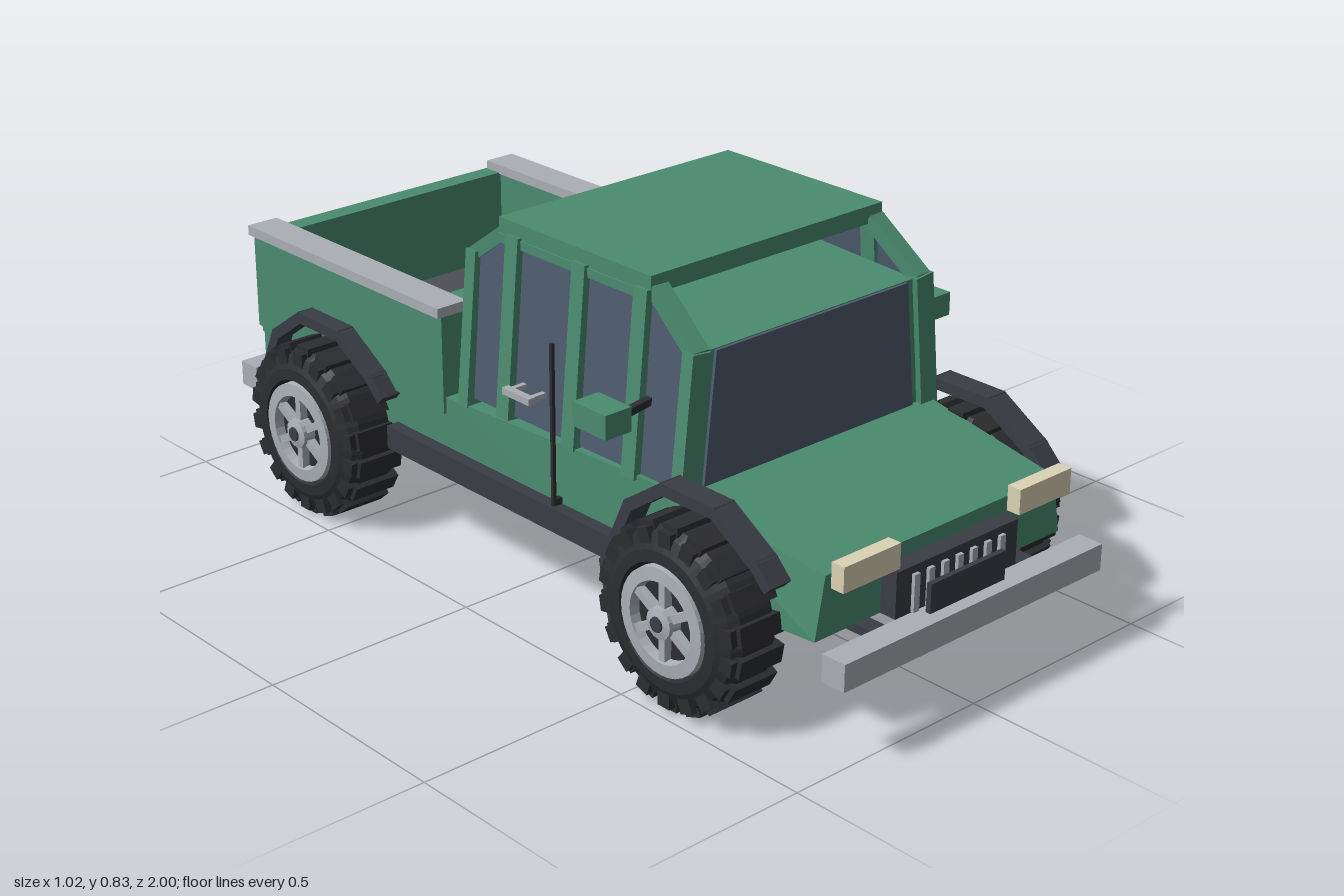
import * as THREE from 'three';

const paint = (color, extra = {}) => new THREE.MeshStandardMaterial({ color, flatShading: true, ...extra });

export function createModel() {
  const truck = new THREE.Group();
  truck.name = 'pickupTruck';
  const green = paint(0x4b8c70), dark = paint(0x3a3d44), rubber = paint(0x2c2d30), glass = paint(0x4e5b6e);
  const chrome = paint(0xabb0b5), cream = paint(0xdcd3b6), red = paint(0xb02522), bedGrey = paint(0x4d4f54);

  function add(name, geometry, material, parent = truck) {
    const mesh = new THREE.Mesh(geometry, material);
    mesh.name = name;
    parent.add(mesh);
    return mesh;
  }
  // box given by its extents
  function box(name, x0, x1, y0, y1, z0, z1, material, parent) {
    const mesh = add(name, new THREE.BoxGeometry(Math.abs(x1 - x0), y1 - y0, z1 - z0), material, parent);
    mesh.position.set((x0 + x1) / 2, (y0 + y1) / 2, (z0 + z1) / 2);
    return mesh;
  }
  // bar between two points
  function bar(name, a, b, width, height, material, overlap = 0) {
    const p = new THREE.Vector3(...a), q = new THREE.Vector3(...b);
    const mesh = add(name, new THREE.BoxGeometry(width, height, p.distanceTo(q) + overlap), material);
    mesh.position.copy(p).add(q).multiplyScalar(0.5);
    mesh.lookAt(q);
    return mesh;
  }
  // solid through trapezoid sections [z, yBottom, yTop, halfBottom, halfTop], front to back
  function loft(name, sections, material) {
    const pos = [], idx = [];
    for (const [z, yb, yt, hb, ht] of sections) pos.push(-hb, yb, z, hb, yb, z, ht, yt, z, -ht, yt, z);
    for (let i = 0; i < sections.length - 1; i++) {
      for (let k = 0; k < 4; k++) {
        const a = i * 4 + k, b = i * 4 + (k + 1) % 4;
        idx.push(a, a + 4, b, b, a + 4, b + 4);
      }
    }
    const e = (sections.length - 1) * 4;
    idx.push(0, 1, 2, 0, 2, 3, e, e + 2, e + 1, e, e + 3, e + 2);
    const g = new THREE.BufferGeometry();
    g.setAttribute('position', new THREE.Float32BufferAttribute(pos, 3));
    g.setIndex(idx);
    const flat = g.toNonIndexed();
    flat.computeVertexNormals();
    return add(name, flat, material);
  }

  // body, cab and roof
  loft('lowerBody', [
    [0.9, 0.23, 0.365, 0.36, 0.335], [0.52, 0.205, 0.412, 0.37, 0.365], [0.33, 0.195, 0.41, 0.375, 0.37],
    [-0.2, 0.198, 0.388, 0.375, 0.375], [-0.91, 0.205, 0.35, 0.37, 0.37]], green);
  loft('cab', [[0.525, 0.39, 0.7, 0.325, 0.3], [-0.158, 0.37, 0.73, 0.325, 0.3]], green);
  loft('windshield', [[0.532, 0.412, 0.698, 0.305, 0.275], [0.52, 0.412, 0.698, 0.305, 0.275]], glass);
  loft('rearWindow', [[-0.15, 0.4, 0.7, 0.305, 0.278], [-0.166, 0.4, 0.7, 0.305, 0.278]], glass);
  box('roof', -0.33, 0.33, 0.79, 0.83, -0.07, 0.4, green);

  // bed
  box('bedFloor', -0.33, 0.33, 0.33, 0.358, -0.88, -0.22, bedGrey);
  box('tailgate', -0.37, 0.37, 0.33, 0.58, -0.917, -0.868, green);
  box('tailgateHandle', -0.1, 0.1, 0.47, 0.495, -0.932, -0.915, dark);

  // window outline as [z, y]
  const windowOutline = [[0.52, 0.412], [0.52, 0.7], [0.395, 0.788], [-0.068, 0.788], [-0.152, 0.73], [-0.152, 0.405]]
    .map(p => new THREE.Vector2(...p));
  const cabX = y => 0.352 - (y - 0.41) * 0.085;

  for (const s of [1, -1]) {
    const side = s > 0 ? 'left' : 'right';

    // side glass leaning inward
    const pane = new THREE.ExtrudeGeometry(new THREE.Shape(windowOutline), { depth: 0.01, bevelEnabled: false });
    pane.rotateY(-Math.PI / 2);
    const p = pane.attributes.position;
    for (let i = 0; i < p.count; i++) p.setX(i, p.getX(i) + 0.005 + s * cabX(p.getY(i)));
    pane.computeVertexNormals();
    add(side + 'SideGlass', pane, glass);

    // pillars, the outer two bent towards the roof
    for (const z of [0.38, 0.193, -0.018]) {
      bar(side + 'Pillar', [s * 0.358, 0.4, z], [s * 0.322, 0.8, z], 0.04, 0.036, green);
    }
    for (const [z, y, zTop] of [[0.523, 0.7, 0.4], [-0.15, 0.73, -0.065]]) {
      bar(side + 'CornerPillar', [s * 0.352, 0.39, z], [s * 0.32, y, z], 0.032, 0.05, green, 0.01);
      bar(side + 'RoofStrut', [s * 0.318, y, z], [s * 0.308, 0.795, zTop], 0.04, 0.03, green, 0.01);
    }
    bar(side + 'WindowHeader', [s * 0.318, 0.785, 0.4], [s * 0.318, 0.785, -0.07], 0.03, 0.02, green);

    // bed wall, rail, sill and fittings
    box(side + 'BedWall', s * 0.32, s * 0.382, 0.35, 0.58, -0.912, -0.21, green);
    box(side + 'BedRail', s * 0.315, s * 0.395, 0.577, 0.6, -0.915, -0.205, chrome);
    box(side + 'SideSkirt', s * 0.36, s * 0.405, 0.215, 0.27, -0.39, 0.37, dark);
    box(side + 'Antenna', s * 0.389, s * 0.397, 0.27, 0.635, 0.166, 0.174, rubber);
    box(side + 'AntennaMount', s * 0.36, s * 0.395, 0.27, 0.285, 0.164, 0.176, rubber);
    box(side + 'DoorHandle', s * 0.385, s * 0.403, 0.477, 0.492, 0.018, 0.105, chrome);
    for (const z of [0.03, 0.093]) {
      box(side + 'HandleMount', s * 0.335, s * 0.39, 0.479, 0.49, z - 0.006, z + 0.006, chrome);
    }
    bar(side + 'MirrorArm', [s * 0.34, 0.572, 0.41], [s * 0.44, 0.558, 0.41], 0.016, 0.016, rubber);
    box(side + 'Mirror', s * 0.43, s * 0.498, 0.545, 0.598, 0.357, 0.455, green);
    box(side + 'Headlight', s * 0.175, s * 0.332, 0.342, 0.398, 0.912, 0.945, cream);
    box(side + 'TailLight', s * 0.188, s * 0.32, 0.34, 0.405, -0.945, -0.912, red);

    // wheels, fender arches and mud flaps
    for (const z of [0.61, -0.61]) {
      const wheel = makeWheel();
      wheel.name = side + (z > 0 ? 'FrontWheel' : 'RearWheel');
      wheel.position.set(s * 0.42, 0.205, z);
      if (s < 0) wheel.rotation.y = Math.PI;
      truck.add(wheel);
      const arch = [[0.22, 0.34], [0.185, 0.375], [0.07, 0.445], [-0.075, 0.445], [-0.175, 0.375], [-0.245, 0.225]];
      for (let i = 0; i < arch.length - 1; i++) {
        const [a, b] = [arch[i], arch[i + 1]];
        bar(side + 'FenderArch', [s * 0.397, a[1], z + a[0]], [s * 0.397, b[1], z + b[0]], 0.055, 0.026, dark, 0.012);
      }
      bar(side + 'MudFlap', [s * 0.367, 0.225, z - 0.245], [s * 0.367, 0.085, z - 0.215], 0.125, 0.022, dark, 0.01);
    }
  }

  // bumpers, plates, grille and exhaust
  box('frontBumper', -0.38, 0.38, 0.17, 0.23, 0.94, 1, chrome);
  box('rearBumper', -0.38, 0.38, 0.17, 0.23, -1, -0.94, chrome);
  box('frontPlate', -0.11, 0.11, 0.225, 0.295, 0.958, 0.97, dark);
  box('rearPlate', -0.11, 0.11, 0.225, 0.295, -0.972, -0.96, dark);
  for (const s of [1, -1]) {
    box('frontBumperBracket', s * 0.2, s * 0.24, 0.205, 0.225, 0.86, 0.95, dark);
    box('rearBumperBracket', s * 0.2, s * 0.24, 0.208, 0.225, -0.95, -0.9, dark);
  }
  box('grille', -0.178, 0.178, 0.23, 0.332, 0.89, 0.94, dark);
  for (let i = -3; i <= 3; i++) {
    box('grilleBar', i * 0.042 - 0.008, i * 0.042 + 0.008, 0.232, 0.315, 0.938, 0.948, chrome);
  }
  const pipe = new THREE.CylinderGeometry(0.022, 0.022, 0.08, 16).rotateX(Math.PI / 2);
  add('exhaust', pipe, chrome).position.set(0, 0.155, -0.94);

  // wheel with its axle along x and outer face towards +x
  function makeWheel() {
    const wheel = new THREE.Group();
    const turned = (name, points, segments, material) => add(name,
      new THREE.LatheGeometry(points.map(q => new THREE.Vector2(...q)), segments).rotateZ(-Math.PI / 2), material, wheel);
    turned('tyre', [[0, -0.06], [0.15, -0.068], [0.18, -0.063], [0.193, -0.045], [0.193, 0.035], [0.18, 0.056],
      [0.15, 0.07], [0.125, 0.072], [0.117, 0.055], [0, 0.05]], 36, rubber);
    turned('rimRing', [[0.083, 0.045], [0.118, 0.045], [0.116, 0.074], [0.088, 0.076], [0.083, 0.045]], 32, chrome);
    turned('hub', [[0.036, 0.045], [0.034, 0.08], [0.018, 0.084], [0, 0.084]], 16, chrome);
    turned('hubCap', [[0.018, 0.08], [0.016, 0.088], [0, 0.088]], 12, dark);
    for (let i = 0; i < 6; i++) {
      const g = new THREE.BoxGeometry(0.022, 0.06, 0.018).translate(0.06, 0.06, 0).rotateX(i * Math.PI / 3);
      add('spoke', g, chrome, wheel);
    }
    // tread blocks with lugs wrapping onto both shoulders
    for (let i = 0; i < 18; i++) {
      const a = i * Math.PI / 9;
      add('treadBlock', new THREE.BoxGeometry(0.115, 0.02, 0.042).translate(-0.008, 0.194, 0).rotateX(a), rubber, wheel);
      for (const x of [-0.06, 0.056]) {
        add('shoulderLug', new THREE.BoxGeometry(0.018, 0.034, 0.034).translate(x, 0.176, 0).rotateX(a), rubber, wheel);
      }
    }
    return wheel;
  }
  return truck;
}
